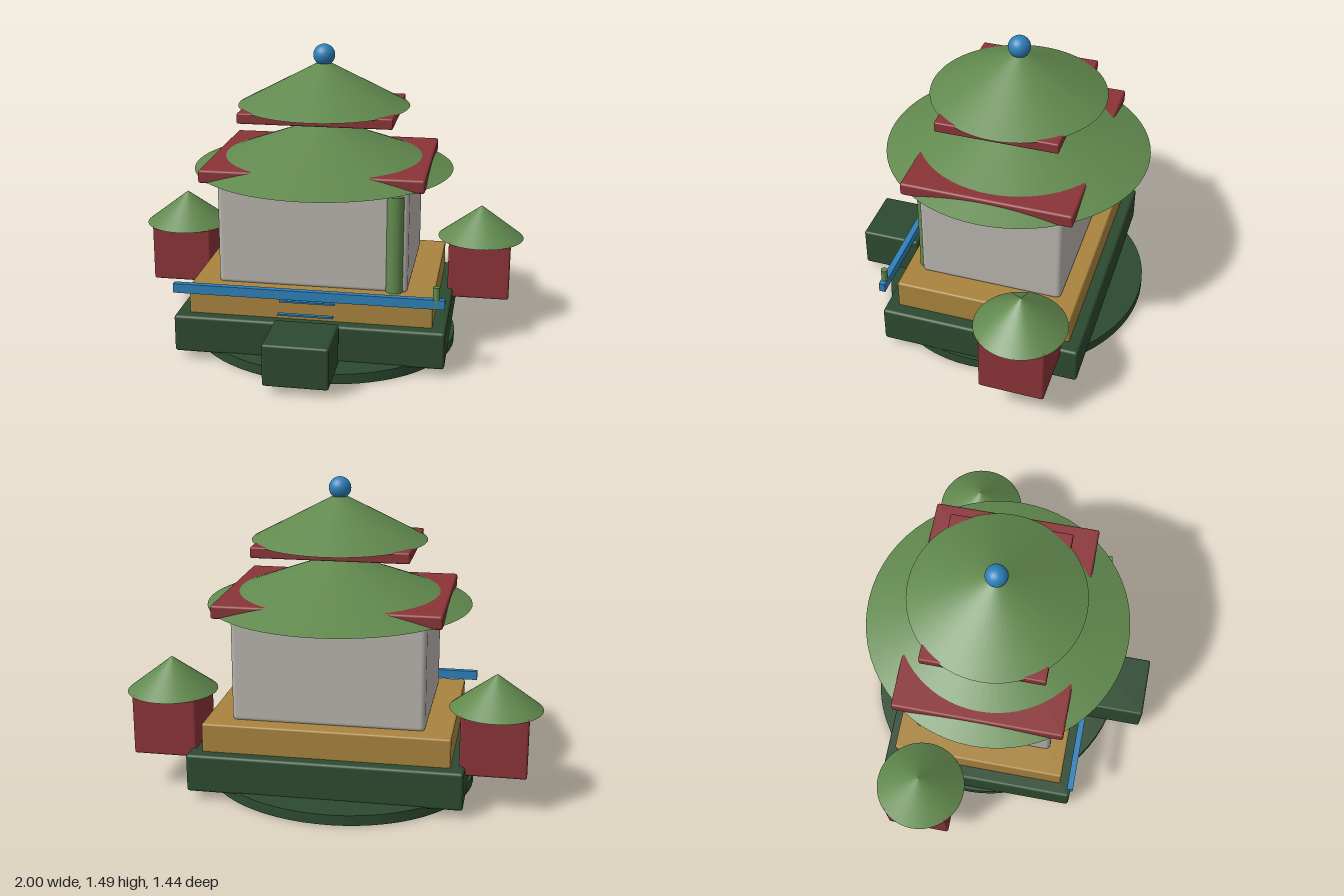
import * as THREE from 'three';
import { RoundedBoxGeometry } from 'three/addons/geometries/RoundedBoxGeometry.js';

const material = (name, color) => {
  const m = new THREE.MeshStandardMaterial({ color });
  m.name = name;
  return m;
};

export function createModel() {
  const model = new THREE.Group();
  model.name = 'pavilion';
  const roofGreen = material('roof green', 0x61894e);
  const darkGreen = material('dark green', 0x2d4a30);
  const gold = material('gold', 0xa9843e);
  const red = material('red', 0x8a3438);
  const stone = material('stone grey', 0xb8b3ad);
  const blue = material('blue', 0x2d80ba);
  const CZ = -0.075; // depth of the main axis

  const add = (name, geometry, mat, x, y, z) => {
    const mesh = new THREE.Mesh(geometry, mat);
    mesh.name = name;
    mesh.position.set(x, y, z);
    model.add(mesh);
    return mesh;
  };
  // Boxes are given by centre x/z, bottom and top
  const box = (name, mat, w, d, y0, y1, x, z, r = 0) => add(name,
    r ? new RoundedBoxGeometry(w, y1 - y0, d, 3, r) : new THREE.BoxGeometry(w, y1 - y0, d),
    mat, x, (y0 + y1) / 2, z);
  const post = (name, mat, r, y0, y1, x, z) => add(name,
    new THREE.CylinderGeometry(r, r, y1 - y0, 24), mat, x, (y0 + y1) / 2, z);
  const cone = (name, r, y0, y1, x, z) => add(name,
    new THREE.ConeGeometry(r, y1 - y0, 64), roofGreen, x, (y0 + y1) / 2, z);

  // Oval ground disc, turned slightly
  const ground = add('groundDisc', new THREE.CylinderGeometry(1, 1, 0.05, 64), darkGreen, 0, 0.025, CZ);
  ground.scale.set(0.687, 1, 0.634);
  ground.rotation.y = -0.52;

  // Stacked base and hall
  box('foundation', darkGreen, 1.31, 0.98, 0.04, 0.226, 0, CZ, 0.015);
  box('entranceBlock', darkGreen, 0.31, 0.297, 0.04, 0.246, 0, 0.573, 0.012);
  box('platform', gold, 1.18, 0.864, 0.2, 0.365, 0, CZ, 0.01);
  box('hall', stone, 0.922, 0.7, 0.355, 0.89, 0, CZ, 0.025);
  post('frontPillar', roofGreen, 0.042, 0.364, 0.84, 0.398, 0.263);

  // Railing with its post, and thin floating treads
  box('railing', blue, 1.3, 0.03, 0.35, 0.396, 0, 0.411);
  post('railingPost', roofGreen, 0.016, 0.355, 0.455, 0.609, 0.411);
  box('upperTread', blue, 0.265, 0.02, 0.331, 0.339, 0, 0.406);
  box('lowerTread', blue, 0.265, 0.02, 0.284, 0.292, 0, 0.455);

  // Lower roof: cone with square eaves showing through
  box('lowerEaves', red, 1.073, 0.82, 0.875, 0.94, 0, CZ, 0.012);
  cone('lowerRoof', 0.641, 0.881, 1.125, 0, CZ);

  // Upper roof, its beam and finial
  box('roofBeam', blue, 0.605, 0.045, 1.118, 1.15, 0, CZ);
  box('upperEaves', red, 0.743, 0.588, 1.143, 1.195, 0, CZ, 0.008);
  cone('upperRoof', 0.421, 1.19, 1.412, 0, CZ);
  add('finial', new THREE.SphereGeometry(0.053, 32, 20), blue, 0, 1.434, CZ);

  // Side turrets
  for (const [side, s] of [['left', 1], ['right', -1]]) {
    box(side + 'Turret', red, 0.312, 0.312, 0.18, 0.475, s * 0.782, -0.323, 0.012);
    cone(side + 'TurretRoof', 0.218, 0.466, 0.633, s * 0.782, -0.323);
  }
  return model;
}
